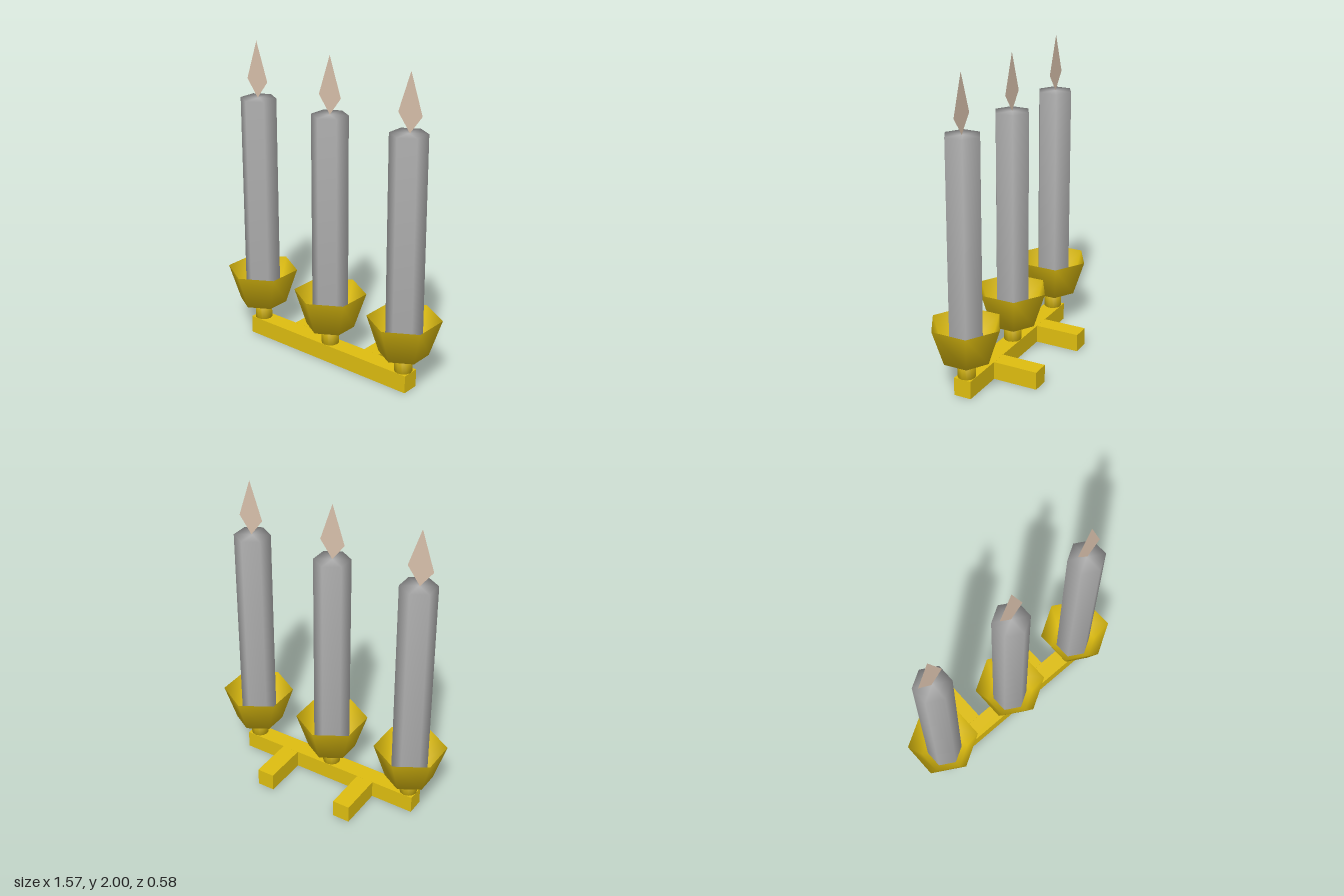
import * as THREE from 'three';

export function createModel() {
  const gold = new THREE.MeshStandardMaterial({ color: 0xdfbe10, side: THREE.DoubleSide });
  gold.name = 'gold';
  const wax = new THREE.MeshStandardMaterial({ color: 0xb2b2b2 });
  wax.name = 'grey wax';
  const glow = new THREE.MeshStandardMaterial({ color: 0xdcc4ae, side: THREE.DoubleSide });
  glow.name = 'pale flame';

  const root = new THREE.Group();
  root.name = 'candleHolder';
  const AXIS_Z = 0.058;

  const add = (parent, name, geometry, material, x = 0, y = 0, z = 0) => {
    const mesh = new THREE.Mesh(geometry, material);
    mesh.name = name;
    mesh.position.set(x, y, z);
    parent.add(mesh);
    return mesh;
  };
  const lathe = (points, sides) =>
    new THREE.LatheGeometry(points.map(([r, y]) => new THREE.Vector2(r, y)), sides);

  // Crossbar and the two rear mounting arms
  add(root, 'crossbar', new THREE.BoxGeometry(1.28, 0.117, 0.115), gold, 0, 0.0585, AXIS_Z);
  for (const side of [-1, 1]) {
    add(root, side > 0 ? 'leftArm' : 'rightArm',
      new THREE.BoxGeometry(0.116, 0.117, 0.295), gold, side * 0.292, 0.0585, -0.1475);
  }

  // Shared shapes: round stem, open six-sided cup, six-sided candle, flat flame
  const stemShape = lathe([[0, 0.117], [0.057, 0.117], [0.057, 0.235], [0, 0.235]], 12);
  const cupShape = lathe([[0, 0.236], [0.154, 0.236], [0.232, 0.472]], 6);
  const candleShape = lathe([[0, 0.24], [0.115, 0.24], [0.115, 1.638], [0, 1.638]], 6);
  const flameShape = new THREE.ShapeGeometry(new THREE.Shape([
    new THREE.Vector2(0, 1.638), new THREE.Vector2(0.085, 1.75),
    new THREE.Vector2(0, 2), new THREE.Vector2(-0.085, 1.75),
  ]));

  // Three identical candles along the bar
  ['rightCandle', 'middleCandle', 'leftCandle'].forEach((name, i) => {
    const side = i - 1;
    const unit = new THREE.Group();
    unit.name = name;
    unit.position.set(side * 0.584, 0, AXIS_Z);
    add(unit, 'stem', stemShape, gold);
    add(unit, 'cup', cupShape, gold);
    add(unit, 'candle', candleShape, wax);
    add(unit, 'flame', flameShape, glow, side * 0.006);
    root.add(unit);
  });

  return root;
}
